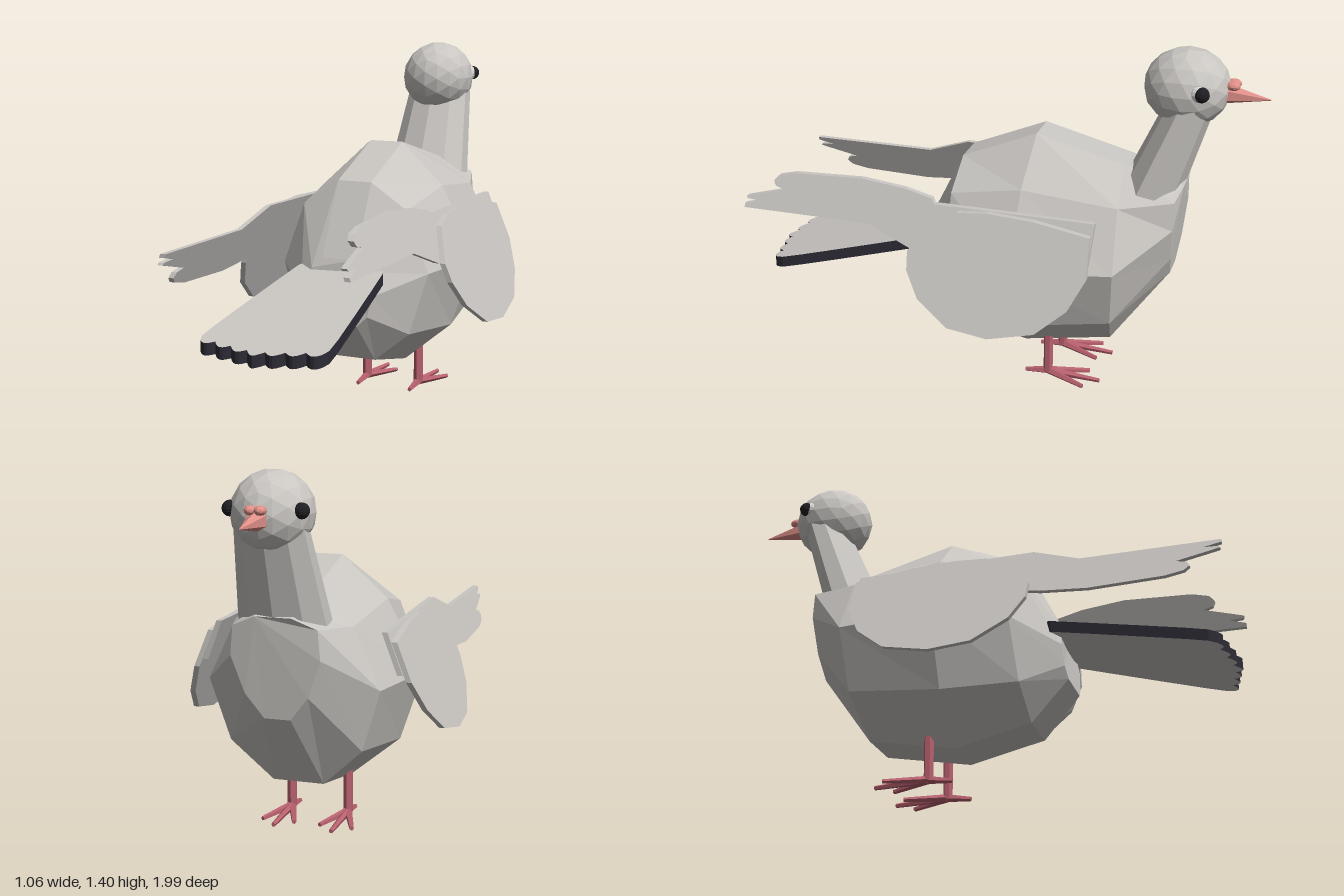
import * as THREE from 'three';

export function createModel() {
  const bird = new THREE.Group();
  bird.name = 'bird';
  const mat = (name, color) => {
    const m = new THREE.MeshStandardMaterial({ color, flatShading: true });
    m.name = name;
    return m;
  };
  const grey = mat('plumage grey', 0xc9c6c2);
  const black = mat('tail black', 0x2d2b35);
  const eyeBlack = mat('eye black', 0x1f1f23);
  const eyeRing = mat('eye ring pale', 0xd8d6d2);
  const salmon = mat('beak salmon', 0xdf8f88);
  const rose = mat('leg rose', 0xb9616f);

  const add = (name, geo, material, parent = bird) => {
    const m = new THREE.Mesh(geo, material);
    m.name = name;
    parent.add(m);
    return m;
  };
  // Apply a rule to every vertex
  const warp = (geo, rule) => {
    const p = geo.attributes.position, v = new THREE.Vector3();
    for (let i = 0; i < p.count; i++) {
      rule(v.fromBufferAttribute(p, i));
      p.setXYZ(i, v.x, v.y, v.z);
    }
    geo.computeVertexNormals();
    return geo;
  };
  // Tapered bar between two points
  const bar = (a, b, ra, rb, sides) => {
    const p = new THREE.Vector3(...a), d = new THREE.Vector3(...b).sub(p);
    const g = new THREE.CylinderGeometry(rb, ra, d.length(), sides);
    g.translate(0, d.length() / 2, 0);
    g.applyQuaternion(new THREE.Quaternion().setFromUnitVectors(
      new THREE.Vector3(0, 1, 0), d.clone().normalize()));
    return g.translate(p.x, p.y, p.z);
  };

  // Body: half rings from breast to rump, top to bottom, mirrored in x
  const halfRings = [
    [[.07, .89, -.71], [.16, .85, -.69], [.17, .74, -.69], [.12, .6, -.68], [.05, .51, -.67]],
    [[.07, .945, -.48], [.23, .83, -.49], [.335, .6, -.5], [.26, .36, -.48], [.10, .21, -.45]],
    [[.07, 1.035, -.13], [.25, .87, -.12], [.395, .59, -.11], [.30, .31, -.1], [.10, .145, -.1]],
    [[.07, .91, .17], [.22, .81, .17], [.31, .57, .17], [.24, .33, .19], [.10, .215, .2]],
    [[.07, .63, .31], [.11, .59, .325], [.15, .5, .335], [.13, .42, .34], [.09, .38, .345]],
  ];
  const pos = [], idx = [], n = 10;
  for (const half of halfRings) {
    for (const p of half) pos.push(...p);
    for (const p of [...half].reverse()) pos.push(-p[0], p[1], p[2]);
  }
  for (let i = 0; i < halfRings.length - 1; i++) {
    for (let j = 0; j < n; j++) {
      const a = i * n + j, b = i * n + (j + 1) % n;
      idx.push(a, a + n, b, b, a + n, b + n);
    }
  }
  const last = (halfRings.length - 1) * n;
  for (let j = 1; j < n - 1; j++) {
    idx.push(0, j, j + 1, last, last + j + 1, last + j);
  }
  const bodyGeo = new THREE.BufferGeometry();
  bodyGeo.setAttribute('position', new THREE.Float32BufferAttribute(pos, 3));
  bodyGeo.setIndex(idx);
  bodyGeo.computeVertexNormals();
  add('body', bodyGeo, grey);

  // Neck: leaning tapered column
  add('neck', warp(new THREE.CylinderGeometry(.135, .18, .4, 10), (v) => {
    v.y += 1.02;
    v.z = v.z * .68 - .595 - (v.y - .9) * .38;
  }), grey);

  // Head
  const head = add('head', new THREE.IcosahedronGeometry(1, 2), grey);
  head.scale.set(.15, .15, .163);
  head.position.set(0, 1.26, -.69);

  // Eyes
  for (const s of [1, -1]) {
    add('eyeRing', new THREE.SphereGeometry(.034, 10, 8), eyeRing).position.set(s * .117, 1.275, -.75);
    add('eye', new THREE.SphereGeometry(.029, 12, 8), eyeBlack).position.set(s * .131, 1.276, -.765);
  }

  // Beak with two nostril bumps
  add('beak', bar([0, 1.247, -.83], [0, 1.237, -1], .04, .002, 6), salmon);
  for (const s of [1, -1]) {
    const bump = add('nostrilBump', new THREE.IcosahedronGeometry(.022, 1), salmon);
    bump.position.set(s * .018, 1.283, -.86);
    bump.scale.set(1, .8, 1.3);
  }

  // Legs and feet
  for (const s of [1, -1]) {
    const leg = new THREE.Group();
    leg.name = s > 0 ? 'leftLeg' : 'rightLeg';
    bird.add(leg);
    const x = s * .117;
    add('shank', bar([x, .02, -.2], [x, .24, -.2], .019, .02, 6), rose, leg);
    for (const [dx, z] of [[0, -.415], [.065, -.36], [-.065, -.36], [0, -.105]]) {
      add('toe', bar([x, .024, -.2], [x + dx, .012, z], .016, .009, 5), rose, leg);
    }
  }

  // Wings: slanted plates drawn in (z, y)
  const wingPlate = (points, side, base) => {
    const shape = new THREE.Shape(points.map(([z, y]) => new THREE.Vector2(-z, y)));
    const geo = new THREE.ExtrudeGeometry(shape, { depth: .022, bevelEnabled: false });
    return warp(geo, (v) => v.set(
      side * (base - .4 * (v.y - .37)) + v.z - .011, v.y, -v.x));
  };
  const covert = [[.28, .64], [.195, .765], [.1, .795], [-.02, .805], [-.2, .797], [-.42, .765],
    [-.425, .62], [-.365, .505], [-.25, .41], [-.07, .37], [.09, .387], [.22, .475], [.275, .57]];
  const feathers = [[-.43, .806], [.2, .806], [.21, .825], [.32, .848], [.5, .865], [.78, .855],
    [.85, .84], [.87, .82], [.86, .8], [.82, .79], [.95, .758], [.98, .75], [.975, .742],
    [.92, .738], [.985, .722], [.985, .708], [.46, .708], [.28, .64], [-.42, .65]];
  for (const s of [1, -1]) {
    const wing = new THREE.Group();
    wing.name = s > 0 ? 'leftWing' : 'rightWing';
    bird.add(wing);
    add('wingCovert', wingPlate(covert, s, .52), grey, wing);
    // The right flight feathers flare downwards, the left ones upwards
    const pts = s > 0 ? feathers : feathers.map(([z, y]) => [z, 1.45 - y]);
    add('flightFeathers', wingPlate(pts, s, .497), grey, wing);
  }

  // Tail: sloping fan with a scalloped end and black edge
  const tail = [[.15, .24], [.18, .3], [.2, .45], [.225, .65], [.245, .82], [.25, .9]];
  const outline = tail.map(([x, z]) => new THREE.Vector2(x, -z));
  const lobes = 7, steps = 6;
  for (let i = 1; i < lobes * steps; i++) {
    const t = i / (lobes * steps), x = .25 - .5 * t;
    const z = .915 + .05 * (1 - Math.abs(x) / .25) + .025 * Math.abs(Math.sin(t * lobes * Math.PI));
    outline.push(new THREE.Vector2(x, -z));
  }
  for (const [x, z] of [...tail].reverse()) outline.push(new THREE.Vector2(-x, -z));
  const tailGeo = new THREE.ExtrudeGeometry(new THREE.Shape(outline), { depth: .045, bevelEnabled: false });
  add('tail', warp(tailGeo, (v) => {
    const z = -v.y;
    v.set(v.x, .548 + v.z - .243 * (z - .28), z);
  }), [grey, black]);

  return bird;
}
